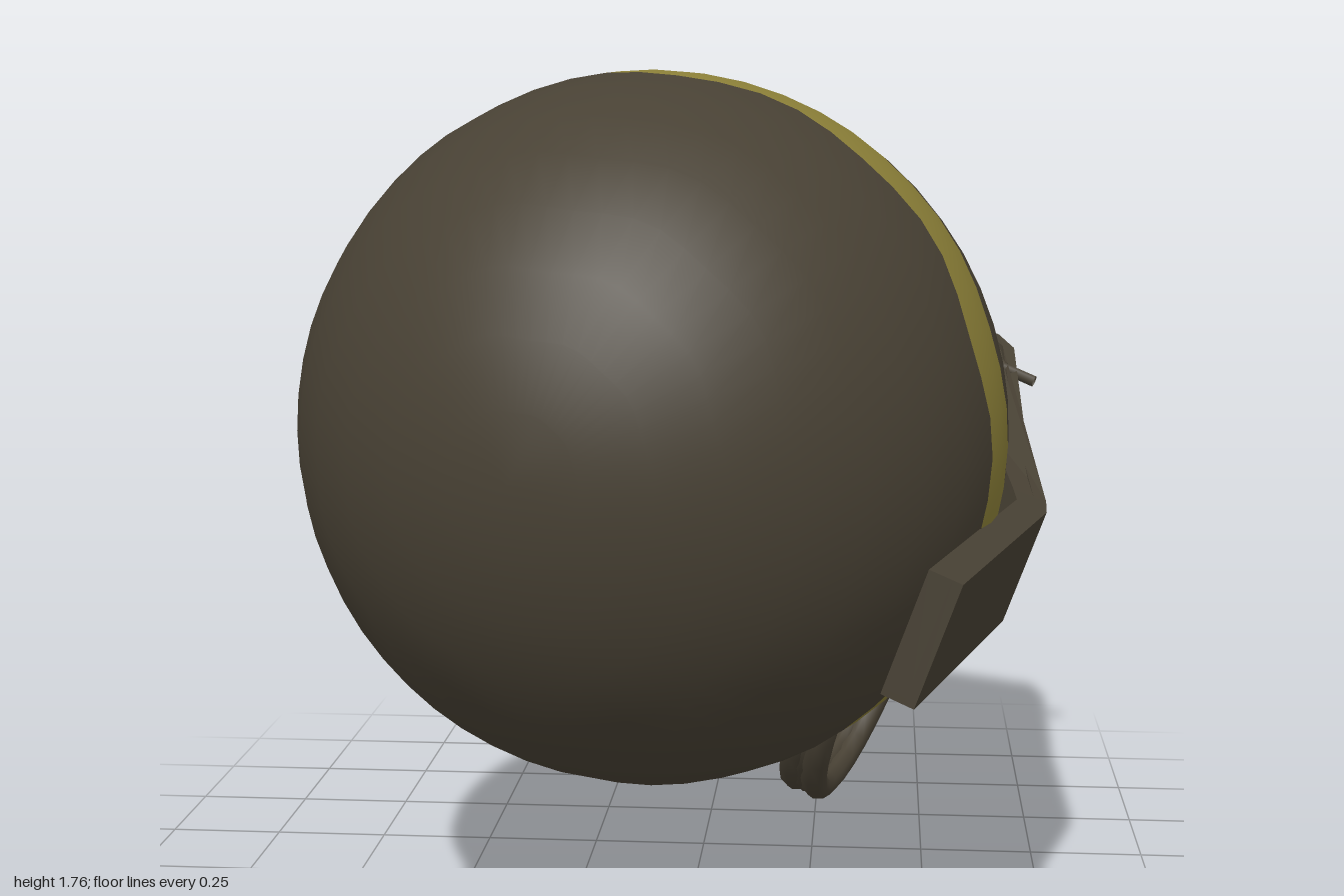
import * as THREE from 'three';

const drab = new THREE.MeshStandardMaterial({ color: 0x484134, side: THREE.DoubleSide });
drab.name = 'dark olive';
const yellow = new THREE.MeshStandardMaterial({ color: 0x8c8038, side: THREE.DoubleSide });
yellow.name = 'mustard yellow';

function add(parent, name, geometry, material = drab) {
  const mesh = new THREE.Mesh(geometry, material);
  mesh.name = name;
  parent.add(mesh);
  return mesh;
}

// Zone of the slightly flattened body between two latitudes; its edges can follow the wavy stripe.
const R = 0.705, FLAT = 0.96;
const wave = (a) => 0.02 * Math.sin(5 * a) + 0.02 * Math.sin(11 * a + 1);
function bodyZone(lat0, lat1, rows, wavy0, wavy1) {
  const pts = [];
  for (let i = 0; i <= rows; i++) pts.push(new THREE.Vector2(1, i / rows));
  const g = new THREE.LatheGeometry(pts, 56);
  const p = g.attributes.position, n = g.attributes.normal;
  for (let i = 0; i < p.count; i++) {
    const a = Math.atan2(p.getX(i), p.getZ(i)), t = p.getY(i);
    const lat = lat0 + (lat1 - lat0) * t + wave(a) * (wavy0 * (1 - t) + wavy1 * t);
    const x = Math.cos(lat) * Math.sin(a), y = Math.sin(lat), z = Math.cos(lat) * Math.cos(a);
    p.setXYZ(i, x * R, y * R * FLAT, z * R);
    n.setXYZ(i, x, y, z);
  }
  return g;
}

// Extrude a side outline across the lever, from s0 to s1 of its varying half width.
function leverPart(outline, s0, s1) {
  const shape = new THREE.Shape(outline.map(([x, y]) => new THREE.Vector2(x, y)));
  const g = new THREE.ExtrudeGeometry(shape, { depth: 1, bevelEnabled: false });
  const p = g.attributes.position;
  for (let i = 0; i < p.count; i++) {
    const u = p.getX(i), t = THREE.MathUtils.clamp((p.getY(i) - 0.6) / 0.6, 0, 1);
    const half = 0.122 + t * (0.03 + 0.12 * u);
    p.setZ(i, -0.02 + 0.03 * t + half * (p.getZ(i) > 0.5 ? s1 : s0));
  }
  g.computeVertexNormals();
  return g;
}

function tube(points, radius, segments = 12) {
  const curve = new THREE.CatmullRomCurve3(points.map((q) => new THREE.Vector3(...q)));
  return new THREE.TubeGeometry(curve, segments, radius, 8);
}

export function createModel() {
  const model = new THREE.Group();

  // Tilted frame: y along the body axis towards the head, x towards the lever
  const tilted = new THREE.Group();
  tilted.name = 'bodyAndHead';
  const axis = new THREE.Vector3(0.28, 0, -0.96).normalize();
  const u = new THREE.Vector3(0.902, -0.342, 0.263).normalize();
  const v = new THREE.Vector3().crossVectors(u, axis).normalize();
  tilted.applyMatrix4(new THREE.Matrix4().makeBasis(u, axis, v).setPosition(-0.06, 1.06, 0.317));
  model.add(tilted);

  // Hollow round body in three zones with a wavy painted stripe
  const top = Math.asin(0.575 / R);
  add(tilted, 'lowerBody', bodyZone(-Math.PI / 2, -0.09, 8, 0, 1));
  add(tilted, 'stripe', bodyZone(-0.09, 0.125, 2, 1, 1), yellow);
  add(tilted, 'upperBody', bodyZone(0.125, top, 6, 1, 0));

  // Shoulder shaded on from the body, with an open neck hole
  const rim = Math.cos(top) * R;
  const shoulder = [[rim, 0.552], [0.21, 0.575]].map((q) => new THREE.Vector2(...q));
  const shoulderGeometry = new THREE.LatheGeometry(shoulder, 56);
  const sp = shoulderGeometry.attributes.position, dir = new THREE.Vector3();
  for (let i = 0; i < sp.count; i++) {
    dir.fromBufferAttribute(sp, i).normalize();
    shoulderGeometry.attributes.normal.setXYZ(i, dir.x, dir.y, dir.z);
  }
  add(tilted, 'shoulder', shoulderGeometry);

  // Collar ring below the head
  const collar = [[0.17, 0.78], [0.235, 0.78], [0.235, 0.81], [0.17, 0.81], [0.17, 0.78]];
  const collarRing = add(tilted, 'collar', new THREE.LatheGeometry(collar.map((q) => new THREE.Vector2(...q)), 24));
  collarRing.position.z = -0.02;

  // Lever: bent outer plate, closed tip, and two side flanges that widen around the head
  const outer = [[0.76, -0.44], [0.755, 0.25], [0.735, 0.33], [0.58, 0.73], [0.415, 1.17], [0.35, 1.27], [-0.2, 1.27]];
  const inner = [[-0.2, 1.25], [0.33, 1.25], [0.39, 1.16], [0.56, 0.72], [0.71, 0.32], [0.735, 0.25], [0.74, -0.44]];
  add(tilted, 'leverPlate', leverPart([...outer, ...inner], -1, 1));
  add(tilted, 'leverTip', leverPart([[0.75, -0.44], [0.75, -0.42], [0.695, -0.42], [0.695, -0.44]], -1, 1));
  const edge = [[-0.22, 1.2], [-0.215, 0.83], [0.23, 0.81], [0.52, 0.66], [0.665, 0.32], [0.69, 0.25], [0.695, -0.44]];
  for (const [name, s0, s1] of [['lowerFlange', -1, -0.9], ['upperFlange', 0.9, 1]]) {
    add(tilted, name, leverPart([...outer, ...edge], s0, s1));
  }

  // Small paint marks on the lever
  for (const d of [0.4, 0.46]) {
    const mark = add(tilted, 'paintMark', new THREE.BoxGeometry(0.006, 0.035, 0.055), yellow);
    mark.position.set(0.735 - (d - 0.33) * 0.3875, d, -0.02);
    mark.rotation.z = 0.37;
  }

  // Head internals: striker post, cross bar and hinge
  add(tilted, 'strikerPost', new THREE.CylinderGeometry(0.06, 0.08, 0.42, 12)).position.set(0.1, 1.03, 0.01);
  for (const [name, x, y, r, len] of [['crossBar', -0.1, 1.02, 0.04, 0.22], ['hinge', -0.24, 1.2, 0.04, 0.22]]) {
    const bar = add(tilted, name, new THREE.CylinderGeometry(r, r, len, 10));
    bar.rotation.x = Math.PI / 2;
    bar.position.set(x, y, 0.01);
  }
  add(tilted, 'hingeHook', tube([[-0.18, 1.26, 0.08], [-0.24, 1.28, 0.09], [-0.31, 1.23, 0.09], [-0.27, 1.13, 0.09], [-0.2, 1.1, 0.08]], 0.025));

  // Safety pin through the head, with spread ends and an eye
  add(model, 'safetyPin', tube([[0.46, 0.7, -0.61], [0.53, 0.9, -0.61], [0.6, 1.1, -0.61]], 0.018));
  add(model, 'pinEndLong', tube([[0.53, 1.12, -0.62], [0.62, 1.1, -0.58], [0.75, 1.05, -0.54]], 0.013, 4));
  add(model, 'pinEndShort', tube([[0.58, 1.08, -0.7], [0.63, 1.12, -0.62], [0.68, 1.08, -0.56]], 0.013, 4));
  const eye = add(model, 'pinEye', new THREE.TorusGeometry(0.042, 0.016, 8, 14));
  eye.position.set(0.465, 0.665, -0.61);

  // Split pull ring: single wire above, doubled below
  const ring = new THREE.Group();
  ring.name = 'pullRing';
  const across = new THREE.Vector3(0.22, -0.08, -0.97).normalize();
  const up = new THREE.Vector3(0.34, 0.94, 0).normalize();
  const normal = new THREE.Vector3().crossVectors(across, up).normalize();
  ring.applyMatrix4(new THREE.Matrix4().makeBasis(across, up, normal).setPosition(0.355, 0.352, -0.643));
  model.add(ring);
  add(ring, 'ringWire', new THREE.TorusGeometry(0.324, 0.03, 8, 24));
  for (const side of [-1, 1]) {
    const half = add(ring, 'ringLowerTurn', new THREE.TorusGeometry(0.328, 0.033, 8, 14, Math.PI));
    half.rotation.z = Math.PI;
    half.position.z = 0.028 * side;
    for (const x of [-1, 1]) {
      const end = add(ring, 'ringWireEnd', new THREE.CircleGeometry(0.033, 8));
      end.rotation.x = -Math.PI / 2;
      end.position.set(0.328 * x, 0, 0.028 * side);
    }
  }
  return model;
}
